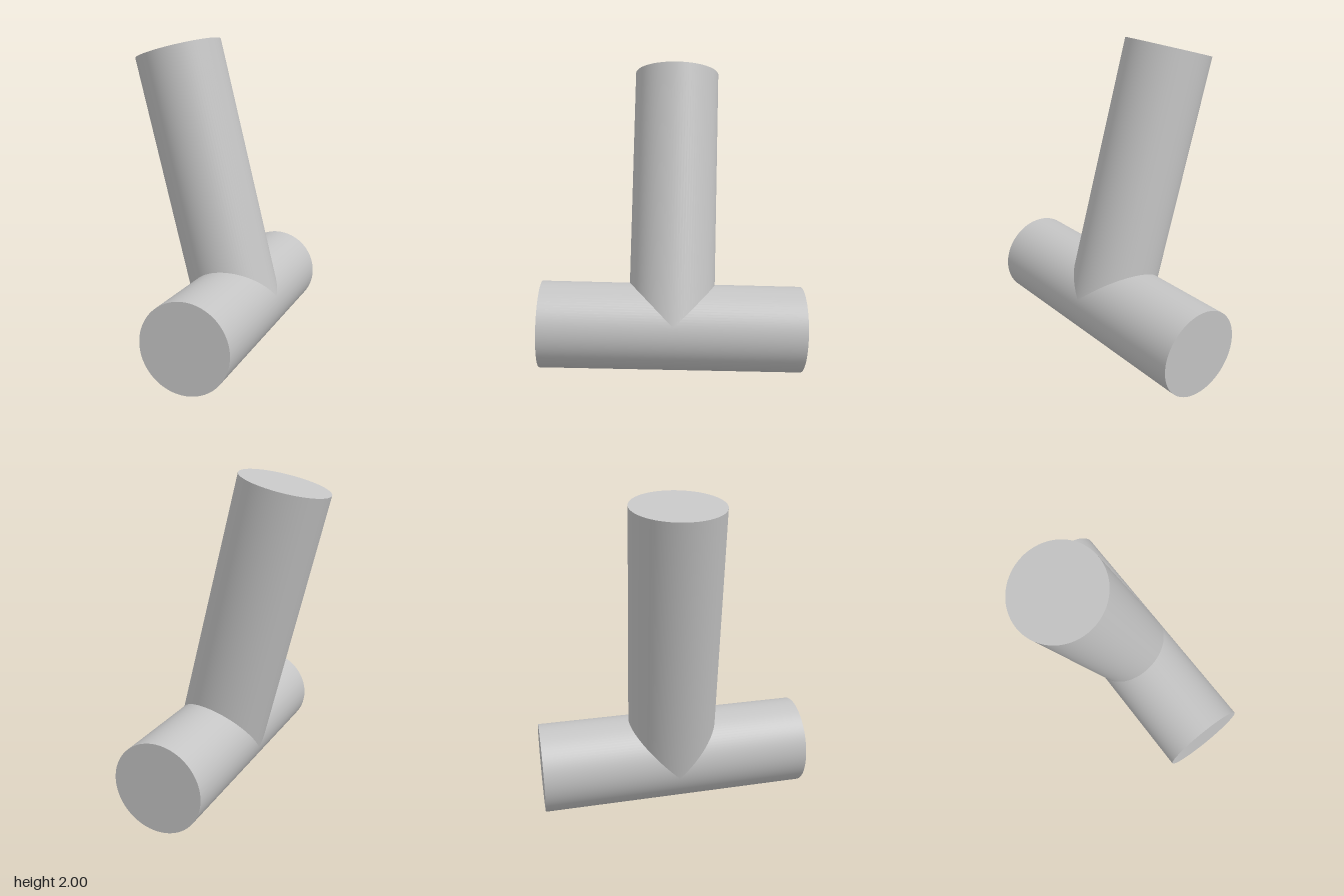
import * as THREE from 'three';

const RADIUS = 0.276;

// Solid round bar between two points
function bar(name, from, to, material) {
  const axis = to.clone().sub(from);
  const mesh = new THREE.Mesh(
    new THREE.CylinderGeometry(RADIUS, RADIUS, axis.length(), 96),
    material
  );
  mesh.position.copy(from).add(to).multiplyScalar(0.5);
  mesh.quaternion.setFromUnitVectors(new THREE.Vector3(0, 1, 0), axis.normalize());
  mesh.name = name;
  return mesh;
}

export function createModel() {
  const grey = new THREE.MeshStandardMaterial({ color: 0xc4c4c4 });
  grey.name = 'light grey';

  const model = new THREE.Group();
  model.name = 'teeFitting';

  // Run: the slightly sloping lower bar
  const front = new THREE.Vector3(-0.535, 0.336, 0.643);
  const back = new THREE.Vector3(0.535, 0.281, -0.643);
  model.add(bar('runBar', front, back, grey));

  // Branch: rises square to the run from its middle
  const middle = front.clone().add(back).multiplyScalar(0.5);
  model.add(bar('branchBar', middle, new THREE.Vector3(-0.293, 1.93, -0.313), grey));

  return model;
}
